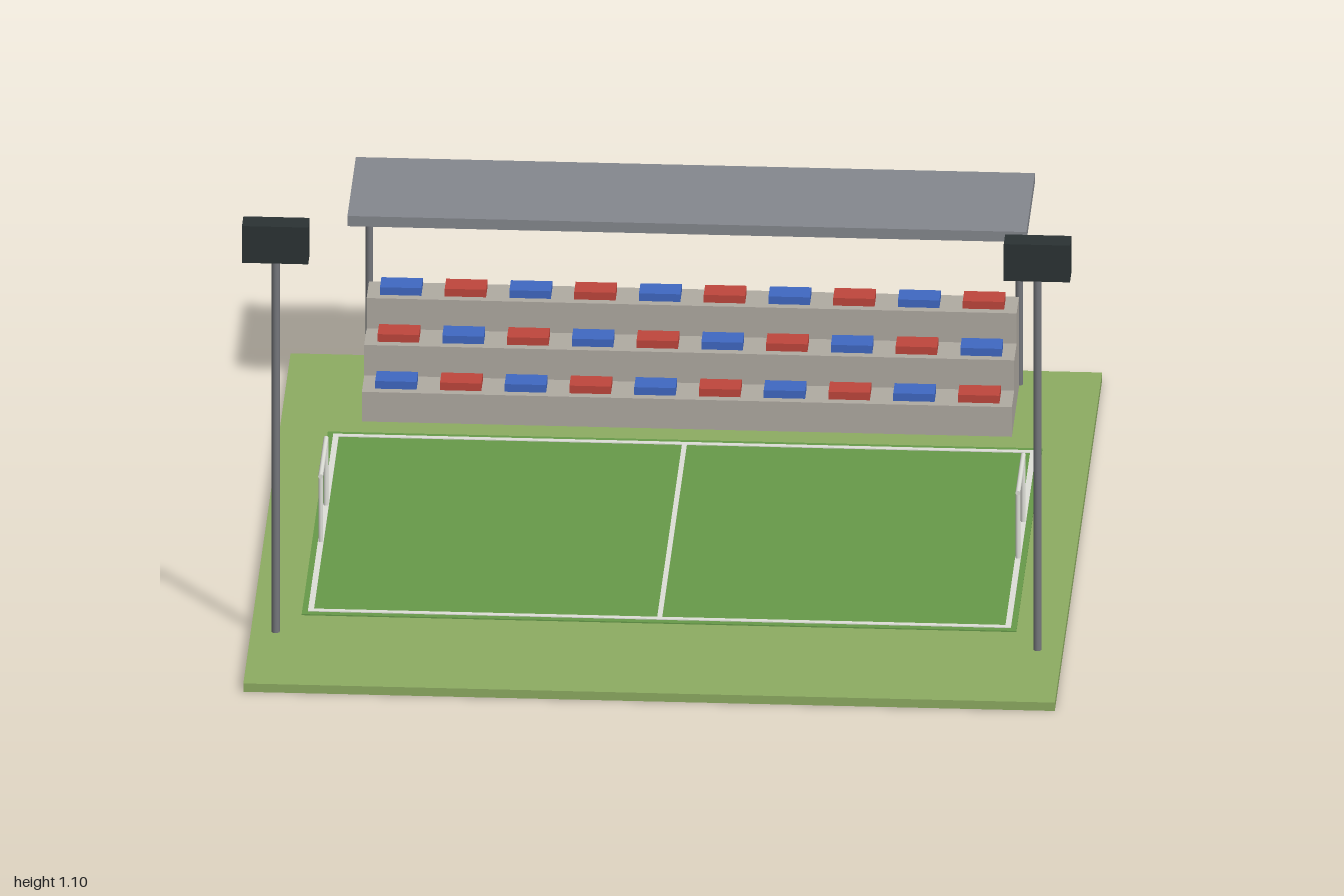
import * as THREE from 'three';

const material = (name, color) => {
  const m = new THREE.MeshStandardMaterial({ color });
  m.name = name;
  return m;
};

export function createModel() {
  const grass = material('light grass', 0x8dac62);
  const turf = material('pitch turf', 0x679a49);
  const white = material('line white', 0xdedfd8);
  const concrete = material('concrete', 0xb0aba2);
  const roofGrey = material('roof grey', 0x85888e);
  const steel = material('steel', 0x75777c);
  const red = material('seat red', 0xbf463c);
  const blue = material('seat blue', 0x4068c2);
  const dark = material('lamp housing', 0x2b3334);

  const model = new THREE.Group();
  model.name = 'sportsGround';

  const group = (name) => {
    const g = new THREE.Group();
    g.name = name;
    model.add(g);
    return g;
  };
  // Box given by its extents on each axis
  const box = (parent, name, mat, [x0, x1], [y0, y1], [z0, z1]) => {
    const mesh = new THREE.Mesh(new THREE.BoxGeometry(x1 - x0, y1 - y0, z1 - z0), mat);
    mesh.position.set((x0 + x1) / 2, (y0 + y1) / 2, (z0 + z1) / 2);
    mesh.name = name;
    parent.add(mesh);
    return mesh;
  };
  // Upright round pole
  const pole = (parent, name, mat, r, x, z, y0, y1) => {
    const mesh = new THREE.Mesh(new THREE.CylinderGeometry(r, r, y1 - y0, 12), mat);
    mesh.position.set(x, (y0 + y1) / 2, z);
    mesh.name = name;
    parent.add(mesh);
    return mesh;
  };

  // Ground and pitch
  const top = 0.022;
  box(model, 'ground', grass, [-0.98, 0.98], [0, top], [-0.98, 0.98]);
  box(model, 'pitch', turf, [-0.863, 0.863], [top - 0.002, 0.025], [-0.516, 0.568]);

  // Pitch markings
  const lines = group('pitchLines');
  const lineY = [0.0245, 0.027];
  for (const s of [-1, 1]) {
    const x = s * 0.842, z = 0.026 + s * 0.519;
    box(lines, 'sideLine', white, [-0.849, 0.849], lineY, [z - 0.007, z + 0.007]);
    box(lines, 'goalLine', white, [x - 0.007, x + 0.007], lineY, [-0.486, 0.538]);
  }
  box(lines, 'halfwayLine', white, [-0.006, 0.006], lineY, [-0.486, 0.538]);

  // Goals
  for (const s of [-1, 1]) {
    const goal = group('goal');
    const x = s * 0.842;
    for (const z of [-0.078, 0.138]) pole(goal, 'goalPost', white, 0.006, x, z, top, 0.2);
    const bar = pole(goal, 'crossbar', white, 0.006, x, 0.03, 0, 0.228);
    bar.rotation.x = Math.PI / 2;
    bar.position.y = 0.2;
  }

  // Stand with three tiers and alternating seats
  const stand = group('stand');
  for (let row = 0; row < 3; row++) {
    const z = -0.587 - row * 0.0985, y = 0.1 + row * 0.08;
    box(stand, 'tier', concrete, [-0.785, 0.785], [0.01, y], [z - 0.0985, z]);
    for (let i = 0; i < 10; i++) {
      const x = -0.704 + i * 0.1564;
      box(stand, 'seat', (row + i) % 2 ? red : blue,
        [x - 0.05, x + 0.05], [y, y + 0.02], [z - 0.081, z - 0.021]);
    }
  }

  // Roof on two rear posts
  box(stand, 'roof', roofGrey, [-0.82, 0.82], [0.535, 0.562], [-0.94, -0.59]);
  for (const x of [-0.785, 0.785]) pole(stand, 'roofPost', steel, 0.009, x, -0.9, top, 0.54);

  // Floodlights with their panels facing the pitch
  for (const s of [-1, 1]) {
    const light = group('floodlight');
    const x = s * 0.92;
    pole(light, 'lightPole', steel, 0.01, x, 0.668, top, 1.01);
    box(light, 'lampHousing', dark, [x - 0.08, x + 0.08], [1.005, 1.102], [0.637, 0.695]);
    box(light, 'lampPanel', grass, [x - 0.07, x + 0.07], [1.016, 1.091], [0.633, 0.638]);
  }

  return model;
}
